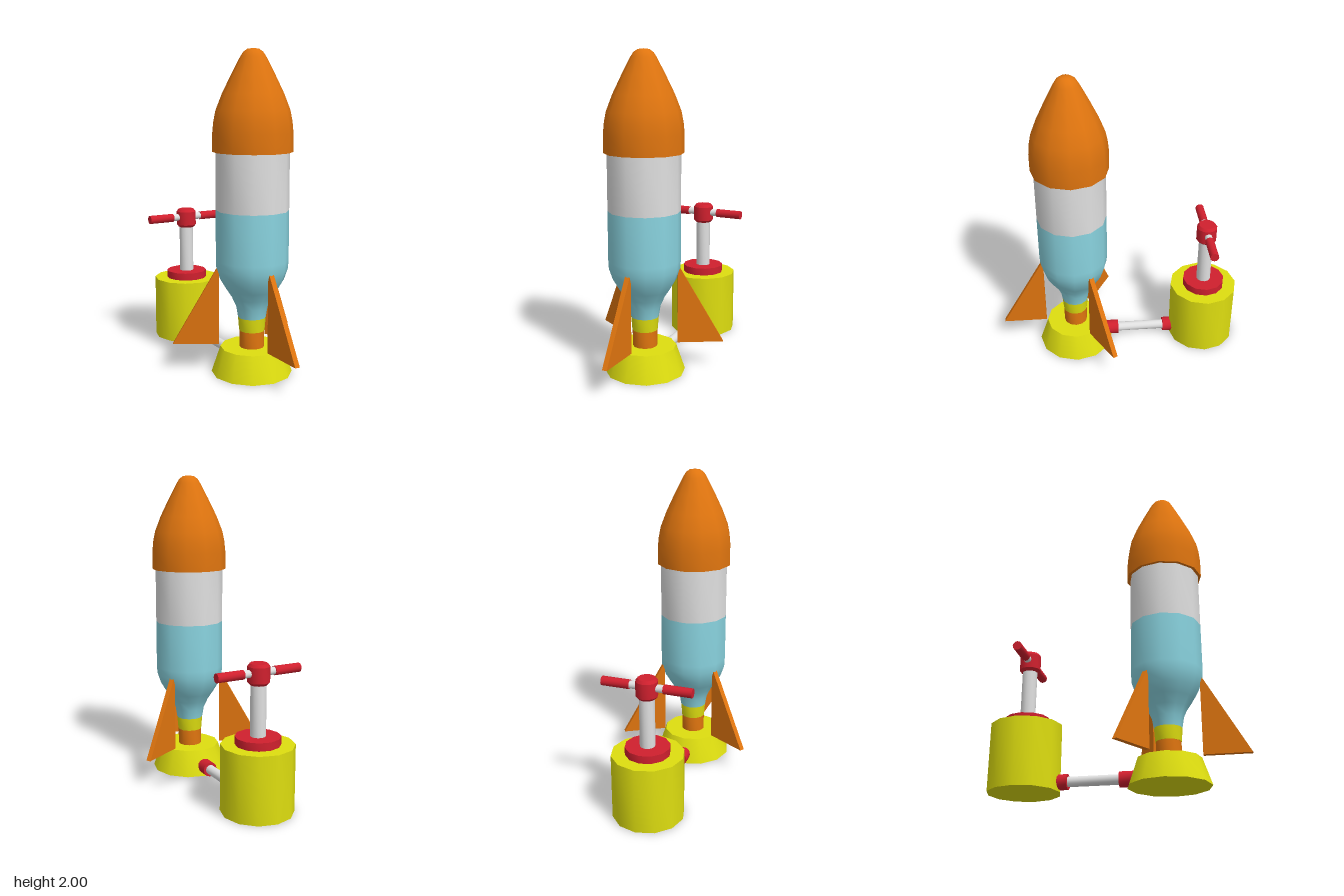
import * as THREE from 'three';
import { toCreasedNormals } from 'three/addons/utils/BufferGeometryUtils.js';

const SIDES = 12;

function paint(name, color) {
  const m = new THREE.MeshStandardMaterial({ color });
  m.name = name;
  return m;
}

// Turned part: profile of [radius, y] from bottom to top, smooth around, sharp at rims
function turned(name, material, profile) {
  const points = profile.map(([r, y]) => new THREE.Vector2(r, y));
  const mesh = new THREE.Mesh(toCreasedNormals(new THREE.LatheGeometry(points, SIDES), 0.62), material);
  mesh.name = name;
  return mesh;
}

// Closed cylinder or cone frustum standing between two heights
function drum(name, material, rBottom, rTop, y0, y1) {
  return turned(name, material, [[0, y0], [rBottom, y0], [rTop, y1], [0, y1]]);
}

export function createModel() {
  const orange = paint('orange', 0xe0750f);
  const yellow = paint('yellow', 0xdede10);
  const red = paint('red', 0xd0202e);
  const white = paint('white', 0xe0e0e0);
  const blue = paint('blue', 0x8ad4e0);
  const model = new THREE.Group();
  model.name = 'rocketWithPump';

  // Rocket
  const rocket = new THREE.Group();
  rocket.name = 'rocket';
  rocket.position.z = 0.31;
  rocket.add(
    drum('launchBase', yellow, 0.253, 0.197, 0, 0.165),
    drum('nozzle', orange, 0.078, 0.078, 0.165, 0.27),
    drum('bottleNeck', yellow, 0.08, 0.087, 0.27, 0.355),
    turned('waterSection', blue, [
      [0, 0.355], [0.087, 0.355], [0.098, 0.42], [0.125, 0.48], [0.162, 0.535],
      [0.198, 0.595], [0.222, 0.665], [0.225, 0.72], [0.225, 1.03],
    ]),
    turned('airSection', white, [[0.225, 1.03], [0.225, 1.4]]),
    turned('noseCone', orange, [
      [0, 1.385], [0.245, 1.385], [0.245, 1.5], [0.238, 1.57], [0.225, 1.635],
      [0.186, 1.735], [0.13, 1.85], [0.078, 1.95], [0.06, 1.978], [0.035, 1.996], [0, 2],
    ]),
  );

  // Three triangular fins, one facing forward
  const finShape = new THREE.Shape([
    new THREE.Vector2(0.205, 0.18),
    new THREE.Vector2(0.495, 0.18),
    new THREE.Vector2(0.205, 0.69),
  ]);
  const finGeometry = new THREE.ExtrudeGeometry(finShape, { depth: 0.032, bevelEnabled: false });
  finGeometry.translate(0, 0, -0.016);
  for (let i = 0; i < 3; i++) {
    const fin = new THREE.Mesh(finGeometry, orange);
    fin.name = 'fin' + (i + 1);
    fin.rotation.y = -Math.PI / 2 + (i * Math.PI * 2) / 3;
    rocket.add(fin);
  }
  model.add(rocket);

  // Hand pump
  const pump = new THREE.Group();
  pump.name = 'pump';
  pump.position.z = -0.58;
  pump.add(
    drum('pumpBarrel', yellow, 0.226, 0.226, 0, 0.422),
    drum('pumpCollar', red, 0.14, 0.14, 0.422, 0.472),
    drum('pumpRod', white, 0.048, 0.048, 0.472, 0.8),
    turned('handleHub', red, [
      [0, 0.787], [0.054, 0.787], [0.068, 0.803], [0.068, 0.898], [0.054, 0.916], [0, 0.916],
    ]),
  );

  // Handle bar with a grip on each side
  for (const side of [-1, 1]) {
    const handle = new THREE.Group();
    handle.name = side > 0 ? 'leftHandle' : 'rightHandle';
    handle.position.y = 0.858;
    handle.rotation.z = -side * Math.PI / 2;
    handle.add(
      drum('handleBar', white, 0.024, 0.024, 0.04, 0.12),
      drum('handleGrip', red, 0.029, 0.029, 0.107, 0.285),
    );
    pump.add(handle);
  }
  model.add(pump);

  // Air pipe joining pump and launch base
  const pipe = new THREE.Group();
  pipe.name = 'airPipe';
  pipe.position.y = 0.059;
  pipe.rotation.x = Math.PI / 2;
  pipe.add(
    drum('pipe', white, 0.032, 0.032, -0.34, 0.04),
    drum('pumpFitting', red, 0.049, 0.049, -0.37, -0.305),
    drum('baseFitting', red, 0.049, 0.049, 0.012, 0.1),
  );
  model.add(pipe);

  return model;
}
